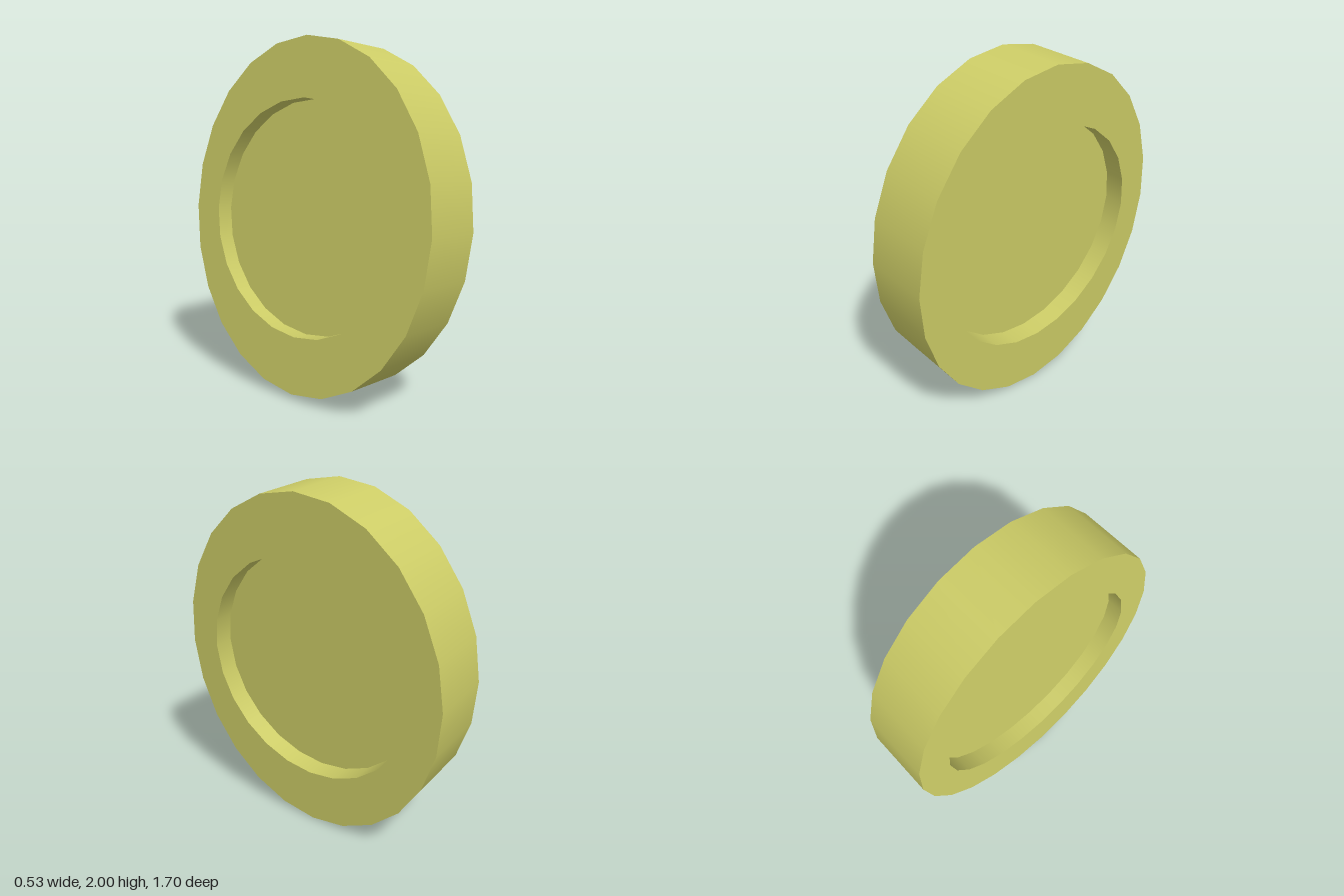
import * as THREE from 'three';

const SIDES = 24;
const HALF = 0.197; // half the thickness
const RY = 0.9885, RZ = 0.85, R_IN = 0.66;

const material = new THREE.MeshStandardMaterial({ color: 0xcccc66 });
const innerMaterial = new THREE.MeshStandardMaterial({ color: 0xcccc66, side: THREE.BackSide });

function ringPoints(rx, ry) {
  return Array.from({ length: SIDES }, (_, i) => {
    const a = (i / SIDES) * Math.PI * 2;
    return new THREE.Vector2(rx * Math.cos(a), ry * Math.sin(a));
  });
}

// open tube lying along x, from x0 to x1
function tube(ry, rz, x0, x1) {
  return new THREE.CylinderGeometry(1, 1, Math.abs(x1 - x0), SIDES, 1, true)
    .rotateZ(-Math.PI / 2)
    .scale(1, ry, rz)
    .translate((x0 + x1) / 2, 0, 0);
}

export function createModel() {
  const model = new THREE.Group();
  model.name = 'tiltedDisc';
  const disc = new THREE.Group();
  disc.name = 'disc';
  const add = (name, geometry, mat = material) => {
    const mesh = new THREE.Mesh(geometry, mat);
    mesh.name = name;
    disc.add(mesh);
  };

  // oval outer band
  add('outerBand', tube(RY, RZ, -HALF, HALF));

  // each side: flat rim, round recess wall and recess floor
  for (const [label, s, depth] of [['left', 1, 0.117], ['right', -1, 0.1]]) {
    const turn = s * Math.PI / 2;
    const rim = new THREE.Shape(ringPoints(RZ, RY));
    rim.holes.push(new THREE.Path(ringPoints(R_IN, R_IN).reverse()));
    add(label + 'Rim', new THREE.ShapeGeometry(rim).rotateY(turn).translate(s * HALF, 0, 0));

    const floorX = s * (HALF - depth);
    add(label + 'RecessWall', tube(R_IN, R_IN, floorX, s * HALF), innerMaterial);
    add(label + 'RecessFloor',
      new THREE.CircleGeometry(R_IN, SIDES).rotateY(turn).translate(floorX, 0, 0));
  }

  // lean the disc slightly to one side, standing on the ground
  disc.rotation.z = -0.0711;
  disc.position.y = 1;
  model.add(disc);
  return model;
}
